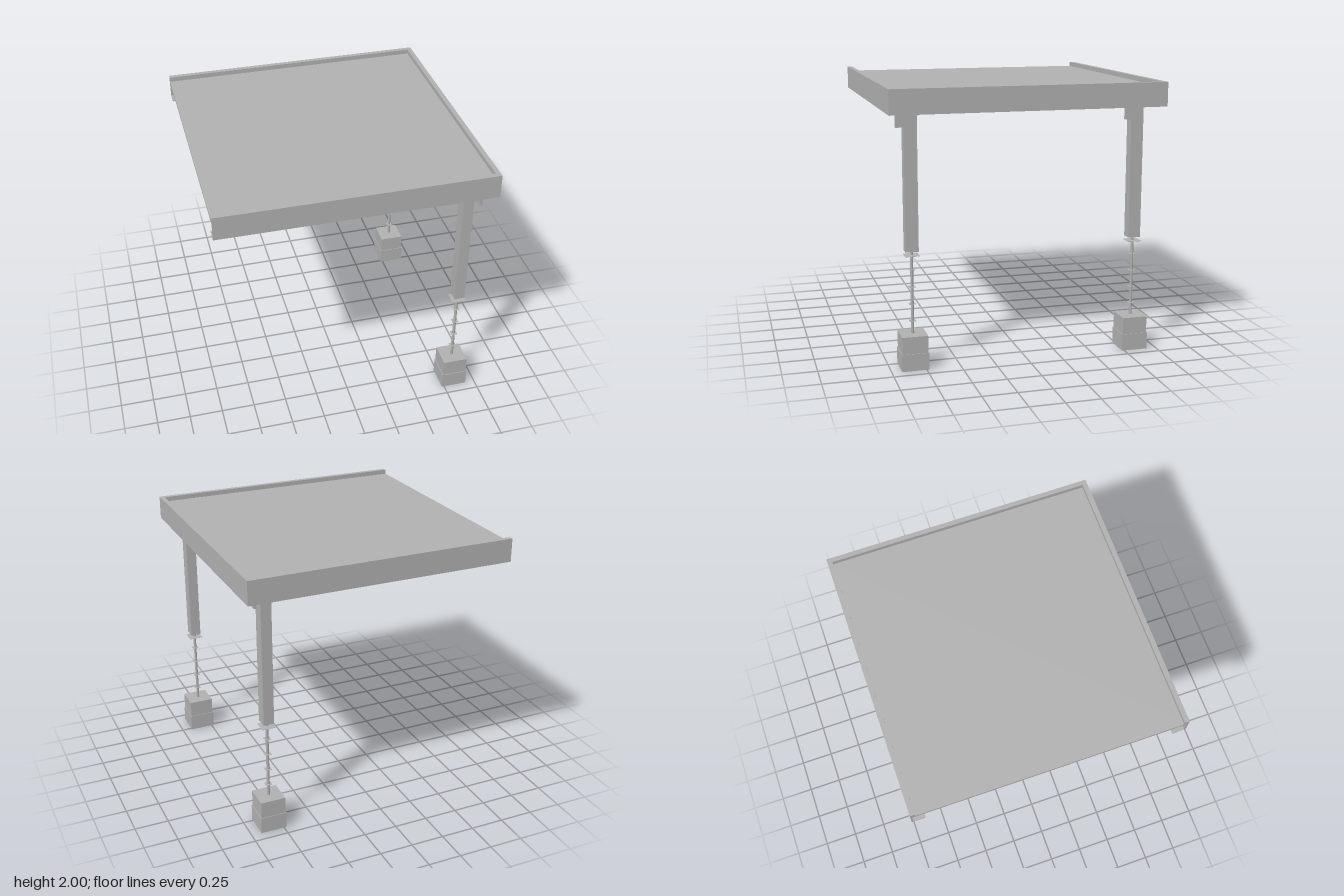
import * as THREE from 'three';

export function createModel() {
  const model = new THREE.Group();
  model.name = 'platform';
  const steel = new THREE.MeshStandardMaterial({ color: 0xb0b0b0 });
  steel.name = 'grey steel';

  // Box given by its lower and upper corners
  function box(parent, name, x0, x1, y0, y1, z0, z1) {
    const mesh = new THREE.Mesh(new THREE.BoxGeometry(x1 - x0, y1 - y0, z1 - z0), steel);
    mesh.position.set((x0 + x1) / 2, (y0 + y1) / 2, (z0 + z1) / 2);
    mesh.name = name;
    parent.add(mesh);
    return mesh;
  }

  // Deck panel, open at the -x edge
  box(model, 'deckPanel', -1, 0.985, 1.945, 1.965, -0.985, 0.985);

  // Channel rails: wall, top lip and wide bottom flange
  const profile = new THREE.Shape();
  [[0, 1.825], [0, 2], [-0.035, 2], [-0.035, 1.965], [-0.012, 1.965], [-0.012, 1.833], [-0.1, 1.833], [-0.1, 1.825]]
    .forEach(([x, y], i) => (i ? profile.lineTo(x, y) : profile.moveTo(x, y)));

  const rail = new THREE.ExtrudeGeometry(profile, { depth: 2, bevelEnabled: false });
  rail.translate(1, 0, -1);
  [['sideRail', 0], ['backRail', Math.PI / 2], ['frontRail', -Math.PI / 2]].forEach(([name, turn]) => {
    const mesh = new THREE.Mesh(rail, steel);
    mesh.rotation.y = turn;
    mesh.name = name;
    model.add(mesh);
  });

  // Joists below the deck
  box(model, 'middleJoist', 0.06, 0.1, 1.86, 1.945, -0.87, 0.83);
  box(model, 'edgeJoist', -0.98, -0.94, 1.86, 1.945, -0.9, 0.88);

  // Corner braces and mounting plates
  for (const s of [1, -1]) {
    const brace = box(model, 'cornerBrace', -0.19, 0.19, 1.83, 1.875, -0.006, 0.006);
    brace.position.x = 0.71;
    brace.position.z = s * 0.8;
    brace.rotation.y = s * 0.75;
    box(model, 'mountingPlate', 0.75, 0.96, 1.937, 1.945, s * 0.58 - 0.12, s * 0.58 + 0.12);
  }

  // Adjustable legs on concrete feet
  for (const z of [0.83, -0.83]) {
    const leg = new THREE.Group();
    leg.name = z > 0 ? 'frontLeg' : 'backLeg';
    leg.position.set(0.828, 0, z);
    model.add(leg);
    box(leg, 'post', -0.039, 0.039, 0.85, 1.805, -0.045, 0.048);
    box(leg, 'capPlate', -0.048, 0.039, 1.805, 1.828, -0.058, 0.048);
    box(leg, 'hangerPlate', 0.054, 0.076, 1.73, 1.828, -0.017, 0.11);
    box(leg, 'hangerLink', 0.03, 0.056, 1.805, 1.828, -0.017, 0.048);
    box(leg, 'bearingPlate', -0.052, 0.052, 0.82, 0.822, -0.052, 0.052);

    const screw = new THREE.Mesh(new THREE.CylinderGeometry(0.011, 0.011, 0.62, 12), steel);
    screw.position.y = 0.55;
    screw.name = 'screwRod';
    leg.add(screw);
    for (let i = 0; i < 4; i++) {
      const y = 0.34 + i * 0.125;
      box(leg, 'threadCollar', -0.023, 0.023, y, y + 0.002, -0.023, 0.023);
    }

    box(leg, 'lowerFooting', -0.098, 0.098, 0, 0.125, -0.098, 0.098);
    box(leg, 'upperFooting', -0.093, 0.093, 0.125, 0.25, -0.093, 0.093);
  }

  return model;
}
